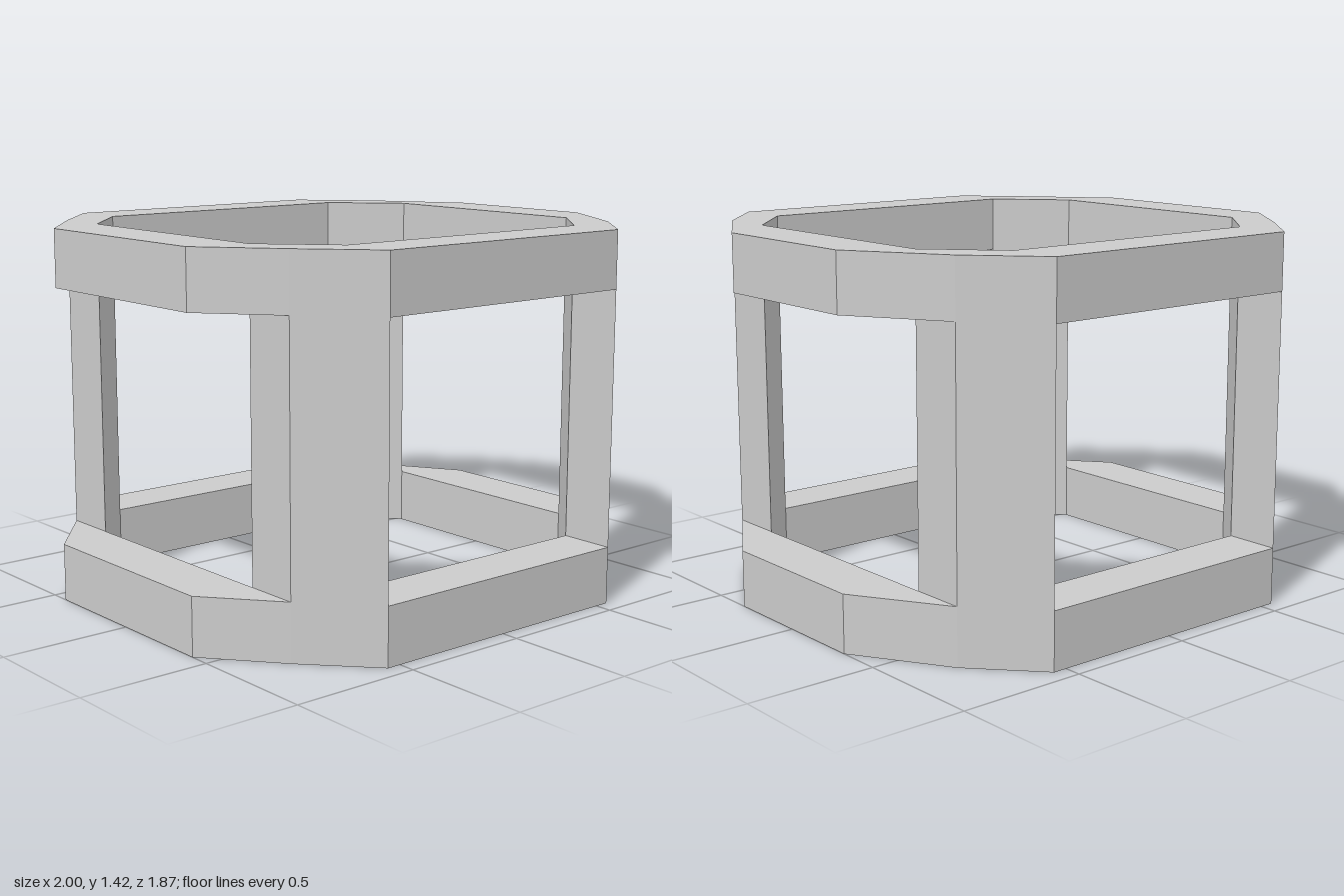
import * as THREE from 'three';

const material = new THREE.MeshStandardMaterial({ color: 0xcccccc, flatShading: true });
const toPoints = (list) => list.map(([x, z]) => new THREE.Vector2(x, -z));

// Extrudes a plan outline of [x, z] corners upward from y0 to y1
function prism(name, outline, y0, y1, hole) {
  const shape = new THREE.Shape(toPoints(outline));
  if (hole) shape.holes.push(new THREE.Path(toPoints(hole)));
  const geometry = new THREE.ExtrudeGeometry(shape, { depth: y1 - y0, bevelEnabled: false });
  geometry.rotateX(-Math.PI / 2).translate(0, y0, 0);
  const mesh = new THREE.Mesh(geometry, material);
  mesh.name = name;
  return mesh;
}

export function createModel() {
  const group = new THREE.Group();
  group.name = 'octagonalFrame';

  const height = 1.42, band = 0.22;

  // Ring outline: the left side is slightly fuller than the right
  const outer = [
    [0.555, 0.935], [0.78, 0.69], [1, 0.33], [1, -0.33], [0.78, -0.69], [0.555, -0.935],
    [-0.555, -0.935], [-0.78, -0.69], [-1, -0.42], [-1, 0.42], [-0.78, 0.69], [-0.555, 0.935],
  ];
  const inner = [
    [0.555, 0.72], [0.78, 0.475], [0.78, -0.475], [0.555, -0.72],
    [-0.555, -0.72], [-0.78, -0.475], [-0.78, 0.475], [-0.555, 0.72],
  ];
  group.add(prism('bottomRing', outer, 0, band, inner));
  group.add(prism('topRing', outer, height - band, height, inner));

  // Four slanted corner posts between the rings
  const post = [[0.555, 0.935], [0.78, 0.69], [0.78, 0.475], [0.555, 0.72]];
  for (const sx of [1, -1]) {
    for (const sz of [1, -1]) {
      const name = (sz > 0 ? 'front' : 'back') + (sx > 0 ? 'Left' : 'Right') + 'Post';
      group.add(prism(name, post.map(([x, z]) => [x * sx, z * sz]), band, height - band));
    }
  }
  return group;
}
